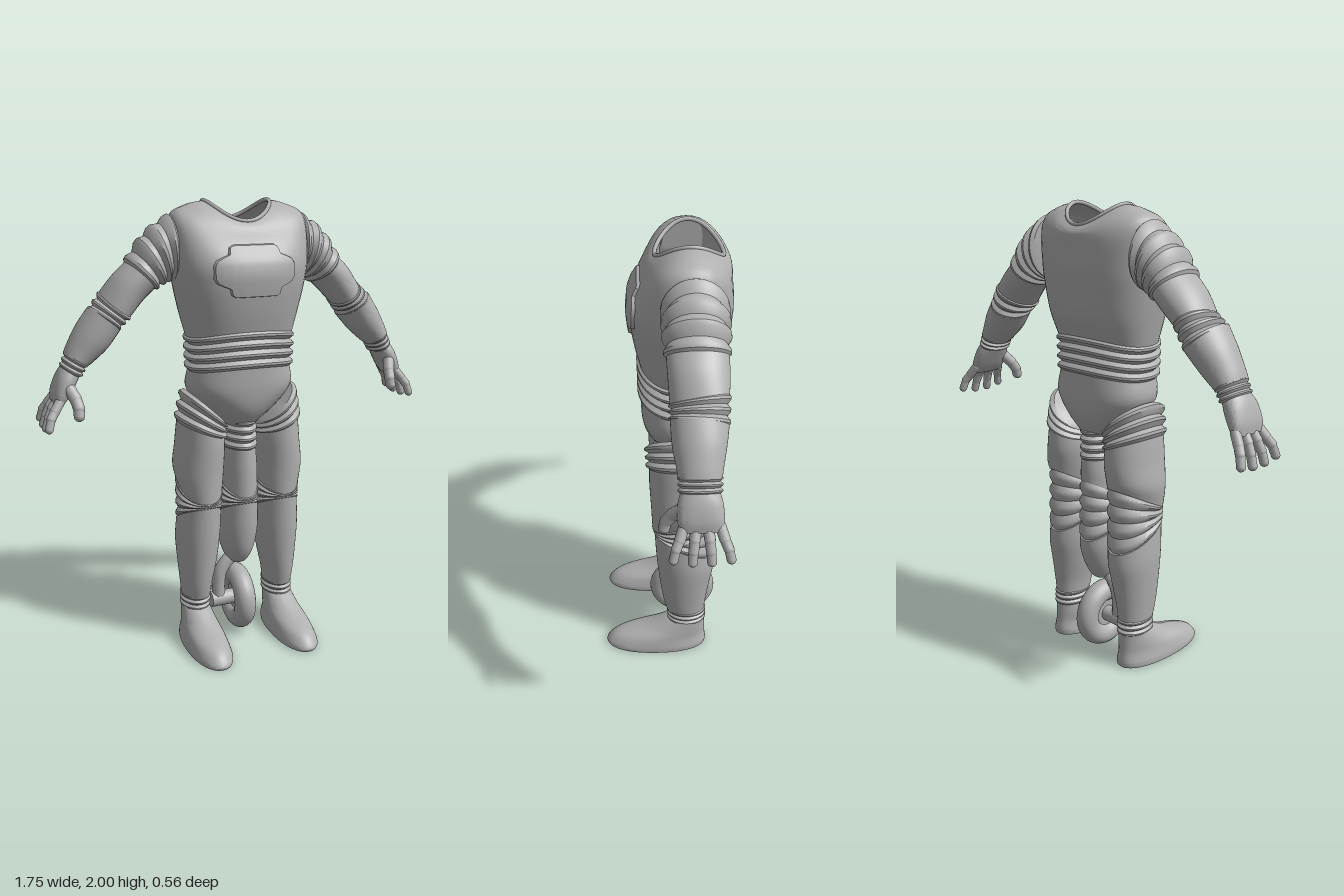
import * as THREE from 'three';
import { toCreasedNormals } from 'three/addons/utils/BufferGeometryUtils.js';

const suitGrey = new THREE.MeshStandardMaterial({ color: 0xb0b0b0, side: THREE.DoubleSide });
suitGrey.name = 'suitGrey';
const SEG = 44;

// Key: [x, y, z, radiusU, radiusZ, turn, tilt, squareness, sideRise]
const fill = k => [0, 0, 0, 0, 0, 0, 0, 2, 0].map((d, i) => k[i] ?? d);

// Smooth interpolation between the key sections, t in 0..1
function section(keys, t) {
  const n = keys.length - 1, f = Math.min(t, 0.99999) * n, i = Math.floor(f), s = f - i;
  const at = j => fill(keys[Math.max(0, Math.min(n, j))]);
  const [a, b, c, d] = [at(i - 1), at(i), at(i + 1), at(i + 2)];
  if (n === 1) return b.map((v, k) => v + (c[k] - v) * s);
  return b.map((v, k) => v + 0.5 * s * (c[k] - a[k] + s * (2 * a[k] - 5 * v + 4 * c[k] - d[k] + s * (3 * (v - c[k]) + d[k] - a[k]))));
}

function ringPoint([x, y, z, ru, rz, turn, tilt, n, rise], angle) {
  const c = Math.cos(angle), s = Math.sin(angle);
  const u = ru * Math.sign(c) * Math.abs(c) ** (2 / n);
  const w = rz * Math.sign(s) * Math.abs(s) ** (2 / n);
  return [x + u * Math.cos(turn), y + u * Math.sin(turn) + w * tilt + rise * c * c, z + w];
}

function add(parent, name, geometry) {
  const mesh = new THREE.Mesh(geometry, suitGrey);
  mesh.name = name;
  parent.add(mesh);
  return mesh;
}

// Skin a list of sections, with optional end caps
function loft(parent, name, sections, capped = true) {
  const pos = [], idx = [];
  sections.forEach(k => {
    for (let j = 0; j < SEG; j++) pos.push(...ringPoint(k, j / SEG * Math.PI * 2));
  });
  const last = sections.length - 1;
  for (let i = 0; i < last; i++) for (let j = 0; j < SEG; j++) {
    const a = i * SEG + j, b = i * SEG + (j + 1) % SEG;
    idx.push(a, b, a + SEG, b, b + SEG, a + SEG);
  }
  if (capped) {
    const c = pos.length / 3;
    for (const e of [0, last]) pos.push(sections[e][0], sections[e][1], sections[e][2]);
    for (let j = 0; j < SEG; j++) {
      const k = (j + 1) % SEG;
      idx.push(c, k, j, c + 1, last * SEG + j, last * SEG + k);
    }
  }
  const g = new THREE.BufferGeometry();
  g.setAttribute('position', new THREE.Float32BufferAttribute(pos, 3));
  g.setIndex(idx);
  return add(parent, name, toCreasedNormals(g, 0.6));
}

function limb(parent, name, keys, capped = true) {
  const steps = (keys.length - 1) * 6;
  return loft(parent, name, Array.from({ length: steps + 1 }, (_, i) => section(keys, i / steps)), capped);
}

// Accordion folds between sections
function ribs(parent, name, keys, count, depth = 0.012, capped = true) {
  const out = [];
  const ring = (t, grow) => {
    const k = section(keys, t);
    k[3] += grow; k[4] += grow;
    out.push(k);
  };
  for (let i = 0; i < count; i++) {
    ring(i / count, -depth * 0.6);
    ring((i + 0.38) / count, depth);
    ring((i + 0.62) / count, depth);
  }
  ring(1, -depth * 0.6);
  return loft(parent, name, out, capped);
}

function rod(parent, name, from, to, radius) {
  const a = new THREE.Vector3(...from), b = new THREE.Vector3(...to), dir = b.clone().sub(a);
  const m = add(parent, name, new THREE.CapsuleGeometry(radius, dir.length(), 6, 14));
  m.position.copy(a).add(b).multiplyScalar(0.5);
  m.quaternion.setFromUnitVectors(new THREE.Vector3(0, 1, 0), dir.normalize());
}

function makeTorso(model) {
  const neck = [0, 1.915, -0.095, 0.145, 0.135, 0, 0, 2, 0.08];
  const torso = limb(model, 'torso', [
    neck, [0, 1.885, -0.095, 0.22, 0.165, 0, 0, 2.2, 0.095],
    [0, 1.83, -0.085, 0.296, 0.18, 0, 0, 2.5, 0.1],
    [0, 1.74, -0.065, 0.3, 0.208, 0, 0, 2.5, 0.03],
    [0, 1.66, -0.062, 0.288, 0.206, 0, 0, 2.5, 0],
    [0, 1.55, -0.065, 0.264, 0.193, 0, 0, 2.4, -0.01],
    [0, 1.46, -0.06, 0.238, 0.167, 0, 0, 2.3, -0.03]], false);
  // Neck rim
  const rim = Array.from({ length: 32 }, (_, i) => new THREE.Vector3(...ringPoint(neck, i / 32 * Math.PI * 2)));
  add(model, 'neckRim', new THREE.TubeGeometry(new THREE.CatmullRomCurve3(rim, true), 64, 0.009, 8, true));
  ribs(model, 'waistRibs', [
    [0, 1.47, -0.06, 0.236, 0.167, 0, 0, 2.3, -0.03],
    [0, 1.3, -0.06, 0.233, 0.164, 0, 0, 2.3, -0.02]], 4, 0.011, false);
  limb(model, 'pelvis', [
    [0, 1.31, -0.06, 0.228, 0.162, 0, 0, 2.3, -0.02],
    [0, 1.2, -0.068, 0.238, 0.167, 0, 0, 2.3, 0],
    [0, 1.11, -0.075, 0.17, 0.155], [0, 1.03, -0.08, 0.07, 0.11]]);

  // Chest plate draped over the torso: [height offset, half width]
  const half = [[0.107, 0.09], [0.103, 0.096], [0.095, 0.11], [0.068, 0.118], [0.058, 0.145], [0.045, 0.172], [0.025, 0.184]];
  const rows = [...half, ...half.map(([h, w]) => [-h, w]).reverse()];
  const cols = 40, g = new THREE.PlaneGeometry(1, 1, cols, rows.length - 1), p = g.attributes.position;
  const ray = new THREE.Raycaster();
  torso.updateMatrixWorld(true);
  rows.forEach(([h, w], r) => {
    for (let c = 0; c <= cols; c++) {
      const edge = r === 0 || r === rows.length - 1 || c === 0 || c === cols;
      const x = (c / cols * 2 - 1) * w, y = 1.719 + h;
      ray.set(new THREE.Vector3(x, y, 1), new THREE.Vector3(0, 0, -1));
      const hit = ray.intersectObject(torso)[0];
      p.setXYZ(r * (cols + 1) + c, x, y, (hit ? hit.point.z : 0.1) + (edge ? -0.004 : 0.012));
    }
  });
  add(model, 'chestPlate', toCreasedNormals(g, 0.6));
}

function makeLeg() {
  const leg = new THREE.Group();
  ribs(leg, 'hipRibs', [
    [0.163, 1.12, -0.07, 0.118, 0.15, 0.75], [0.18, 1.01, -0.077, 0.108, 0.148, 0.35]], 3);
  limb(leg, 'thigh', [
    [0.178, 1.025, -0.077, 0.106, 0.146, 0.38], [0.182, 0.94, -0.08, 0.108, 0.15, 0.1],
    [0.191, 0.84, -0.08, 0.112, 0.143, 0, -0.2], [0.188, 0.765, -0.08, 0.1, 0.138, 0, -0.5]]);
  ribs(leg, 'kneeRibs', [
    [0.188, 0.77, -0.08, 0.094, 0.132, 0, -0.52], [0.19, 0.605, -0.085, 0.094, 0.13, 0, 0.5]], 4, 0.008);
  limb(leg, 'shin', [
    [0.19, 0.61, -0.085, 0.098, 0.134, 0, 0.5], [0.195, 0.5, -0.09, 0.1, 0.13, 0, 0.2],
    [0.2, 0.38, -0.09, 0.088, 0.115], [0.206, 0.28, -0.09, 0.073, 0.1], [0.207, 0.21, -0.095, 0.065, 0.088]]);
  ribs(leg, 'ankleRibs', [
    [0.207, 0.225, -0.098, 0.062, 0.084], [0.209, 0.15, -0.1, 0.062, 0.083]], 3, 0.007);
  limb(leg, 'boot', [
    [0.21, 0.16, -0.1, 0.062, 0.084], [0.21, 0.11, -0.05, 0.074, 0.136],
    [0.211, 0.065, 0.02, 0.086, 0.208], [0.211, 0.02, 0.043, 0.095, 0.236, 0, 0, 2.2],
    [0.211, 0, 0.044, 0.094, 0.234, 0, 0, 2.2]]);
  return leg;
}

function makeArm() {
  const arm = new THREE.Group();
  ribs(arm, 'shoulderRibs', [
    [0.285, 1.81, -0.105, 0.132, 0.12, 1.57], [0.36, 1.765, -0.107, 0.105, 0.12, 1.15],
    [0.43, 1.69, -0.11, 0.078, 0.114, 0.75]], 4, 0.01);
  limb(arm, 'upperArm', [
    [0.42, 1.7, -0.11, 0.08, 0.116, 0.75], [0.48, 1.645, -0.112, 0.08, 0.114, 0.7],
    [0.54, 1.575, -0.113, 0.075, 0.108, 0.68, -0.15]]);
  ribs(arm, 'elbowRibs', [
    [0.53, 1.585, -0.113, 0.072, 0.106, 0.68, -0.2], [0.595, 1.51, -0.112, 0.074, 0.104, 0.68, 0.15]], 3, 0.008);
  limb(arm, 'forearm', [
    [0.587, 1.52, -0.112, 0.083, 0.108, 0.68, 0.12], [0.64, 1.452, -0.11, 0.08, 0.1, 0.66],
    [0.69, 1.39, -0.11, 0.066, 0.086, 0.64], [0.715, 1.36, -0.11, 0.055, 0.08, 0.62]]);
  ribs(arm, 'wristRibs', [
    [0.708, 1.37, -0.11, 0.05, 0.077, 0.6], [0.738, 1.31, -0.11, 0.045, 0.076, 0.5]], 3, 0.006);
  limb(arm, 'palm', [
    [0.735, 1.32, -0.11, 0.043, 0.07, 0.55], [0.76, 1.28, -0.11, 0.043, 0.083, 0.5, 0, 2.3],
    [0.787, 1.225, -0.112, 0.036, 0.086, 0.45, 0, 2.5], [0.803, 1.185, -0.115, 0.022, 0.08, 0.45, 0, 2.5]]);
  // Jointed fingers and thumb
  const digit = (name, pts, r) => {
    for (let i = 0; i < pts.length - 1; i++) rod(arm, name, pts[i], pts[i + 1], r - i * 0.0015);
  };
  for (let i = 0; i < 4; i++) {
    const z = -0.05 - i * 0.044, spread = (1.5 - i) * 0.026, drop = i === 0 || i === 3 ? 0.012 : 0;
    digit('finger', [[0.795, 1.205, z], [0.824, 1.165, z + spread * 0.4],
      [0.843, 1.125 + drop, z + spread * 0.75], [0.855, 1.085 + drop, z + spread]], 0.021);
  }
  digit('thumb', [[0.765, 1.27, -0.06], [0.74, 1.215, -0.012], [0.733, 1.18, 0.012], [0.735, 1.15, 0.02]], 0.026);
  return arm;
}

function makeMiddleLeg(model) {
  const leg = new THREE.Group();
  leg.name = 'middleLeg';
  ribs(leg, 'middleHipRibs', [[0, 1.065, -0.08, 0.068, 0.12], [0, 0.915, -0.08, 0.073, 0.12]], 4, 0.009);
  limb(leg, 'middleThigh', [
    [0, 0.93, -0.08, 0.074, 0.12], [0, 0.85, -0.08, 0.082, 0.125, 0, -0.2], [0, 0.76, -0.08, 0.083, 0.125, 0, -0.5]]);
  ribs(leg, 'middleKneeRibs', [
    [0, 0.765, -0.08, 0.079, 0.122, 0, -0.52], [0, 0.605, -0.085, 0.084, 0.122, 0, 0.5]], 4, 0.008);
  limb(leg, 'middleShin', [
    [0, 0.61, -0.085, 0.09, 0.126, 0, 0.5], [0, 0.52, -0.088, 0.093, 0.12, 0, 0.2], [0, 0.43, -0.09, 0.078, 0.1],
    [0, 0.365, -0.09, 0.052, 0.066], [0, 0.342, -0.09, 0.028, 0.035], [0, 0.335, -0.09, 0.004, 0.004]]);
  // Wheel on a one-sided bent strut
  const tyre = add(leg, 'tyre', new THREE.TorusGeometry(0.107, 0.05, 20, 48).rotateY(Math.PI / 2));
  const disc = add(leg, 'wheelDisc', new THREE.CylinderGeometry(0.1, 0.1, 0.04, 40).rotateZ(Math.PI / 2));
  tyre.position.set(0, 0.16, -0.088);
  disc.position.copy(tyre.position);
  const bend = [[0.0, 0.375], [-0.045, 0.35], [-0.083, 0.3], [-0.094, 0.24], [-0.095, 0.16]]
    .map(([x, y]) => new THREE.Vector3(x, y, -0.088));
  add(leg, 'strut', new THREE.TubeGeometry(new THREE.CatmullRomCurve3(bend), 32, 0.031, 16));
  const axle = add(leg, 'axle', new THREE.CylinderGeometry(0.036, 0.036, 0.12, 24).rotateZ(Math.PI / 2));
  axle.position.set(-0.073, 0.158, -0.088);
  model.add(leg);
}

export function createModel() {
  const model = new THREE.Group();
  model.name = 'threeLeggedSuit';
  makeTorso(model);
  makeMiddleLeg(model);
  for (const side of [1, -1]) {
    for (const [name, make] of [['Leg', makeLeg], ['Arm', makeArm]]) {
      const part = make();
      part.name = (side > 0 ? 'left' : 'right') + name;
      part.scale.x = side;
      model.add(part);
    }
  }
  return model;
}
